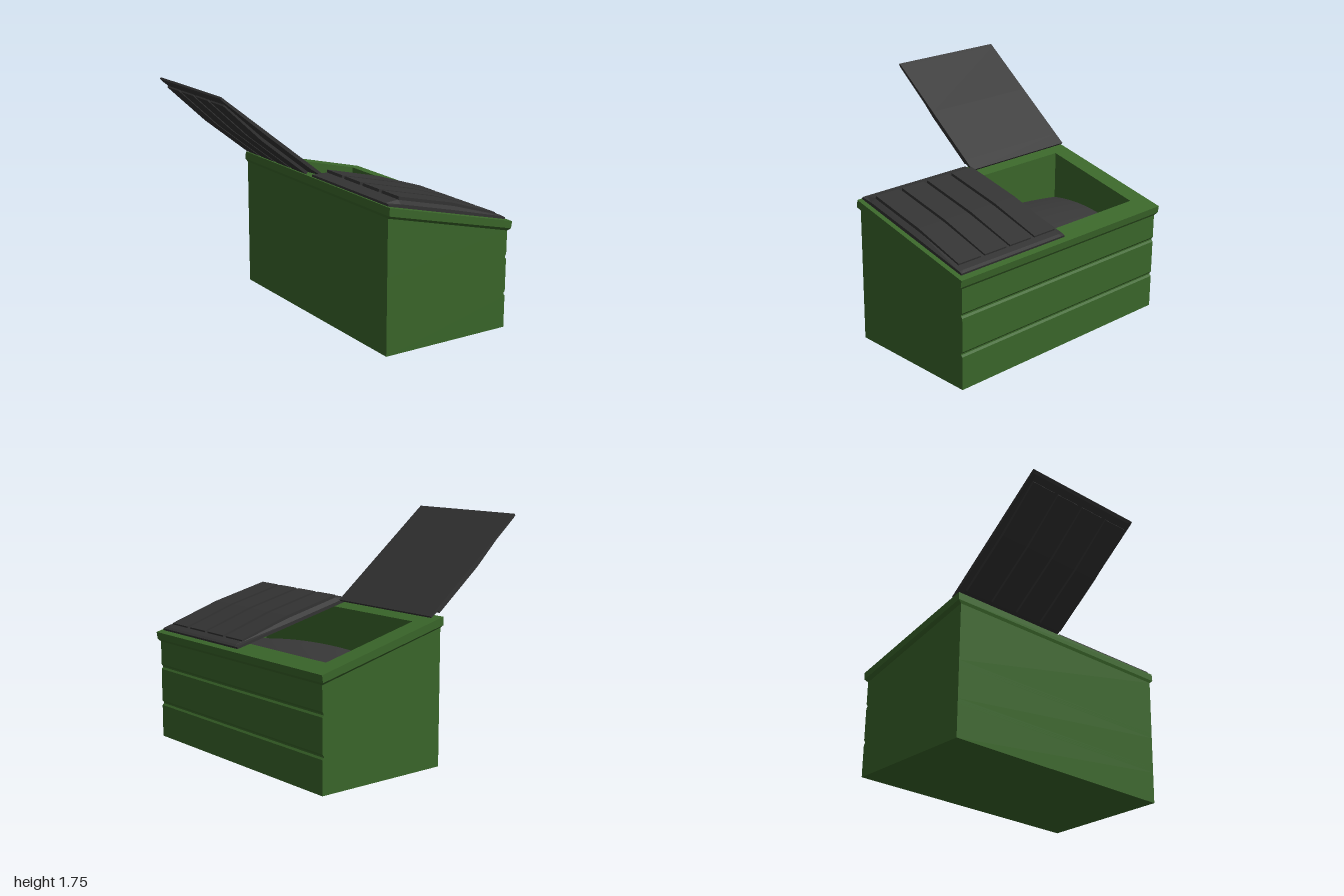
import * as THREE from 'three';

const green = new THREE.MeshStandardMaterial({ color: 0x3a662a, flatShading: true });
const dark = new THREE.MeshStandardMaterial({ color: 0x333333, flatShading: true });
const heapMat = new THREE.MeshStandardMaterial({ color: 0x383838, side: THREE.DoubleSide });

function mesh(name, geometry, material) {
  const m = new THREE.Mesh(geometry, material);
  m.name = name;
  return m;
}

// Skin a list of equal-length rings, each counter-clockwise about the direction of travel
function loft(rings, capStart, capEnd) {
  const pos = [];
  const tri = (a, b, c) => pos.push(...a, ...b, ...c);
  const n = rings[0].length;
  for (let i = 0; i < rings.length - 1; i++) {
    for (let j = 0; j < n; j++) {
      const k = (j + 1) % n;
      const [a, b, c, d] = [rings[i][j], rings[i][k], rings[i + 1][k], rings[i + 1][j]];
      tri(a, b, c);
      tri(a, c, d);
    }
  }
  const first = rings[0], last = rings[rings.length - 1];
  for (let j = 1; j < n - 1; j++) {
    if (capStart) tri(first[0], first[j + 1], first[j]);
    if (capEnd) tri(last[0], last[j], last[j + 1]);
  }
  const g = new THREE.BufferGeometry();
  g.setAttribute('position', new THREE.Float32BufferAttribute(pos, 3));
  g.computeVertexNormals();
  return g;
}

// Rectangular ring whose height runs from yBack (at x0) to yFront (at x1)
const rect = (x0, x1, z, yBack, yFront) => [
  [x0, yBack, z], [x1, yFront, z], [x1, yFront, -z], [x0, yBack, -z],
];

// Container: outer wall with two grooves, bevelled sloping rim, inner wall
function containerGeometry() {
  const rings = [rect(-0.167, 0.893, 0.975, 0, 0)];
  for (const y of [0.245, 0.53]) {
    [[0, 0.893], [0.013, 0.881], [0.023, 0.881], [0.038, 0.893]].forEach(([dy, x1]) =>
      rings.push(rect(-0.167, x1, 0.975, y + dy, y + dy)));
  }
  rings.push(
    rect(-0.167, 0.893, 0.975, 1.0, 0.745),
    rect(-0.175, 0.907, 1.0, 1.022, 0.765),
    rect(-0.17, 0.915, 1.0, 1.08, 0.818),
    rect(-0.02, 0.76, 0.85, 1.044, 0.856),
    rect(-0.02, 0.76, 0.85, 0.5, 0.5),
  );
  return loft(rings, true, false);
}

// Gently domed contents filling the opening
function heapGeometry() {
  const g = new THREE.PlaneGeometry(0.78, 1.7, 16, 24).rotateX(-Math.PI / 2).translate(0.37, 0, 0);
  const p = g.attributes.position;
  for (let i = 0; i < p.count; i++) {
    const x = p.getX(i), z = p.getZ(i);
    p.setY(i, 0.76 - 0.4 * (x - 0.2) ** 2 - 0.09 * z * z);
  }
  g.computeVertexNormals();
  return g;
}

// Lid lying along +x from its hinge edge, flat below and crowned above
function makeLid(name) {
  const lid = new THREE.Group();
  lid.name = name;
  const w = 0.4875, inner = 0.45;
  const sections = [[0, 0.015, 0.016], [0.1, 0.025, 0.05], [0.57, 0.025, 0.05],
    [1.04, 0.018, 0.022], [1.063, 0.014, 0.015]];
  const rings = sections.map(([s, edge, top]) => [
    [s, 0, -w], [s, edge, -w], [s, top, -inner], [s, top, inner], [s, edge, w], [s, 0, w],
  ]);
  lid.add(mesh('lidPanel', loft(rings, true, true), dark));

  // Four raised ribs following the crown
  const profile = new THREE.Shape([[0.1, 0.01], [0.99, 0.01], [0.99, 0.037], [0.57, 0.071], [0.1, 0.071]]
    .map(([x, y]) => new THREE.Vector2(x, y)));
  const ribGeometry = new THREE.ExtrudeGeometry(profile, { depth: 0.2, bevelEnabled: false })
    .translate(0, 0, -0.1);
  for (let i = 0; i < 4; i++) {
    const rib = mesh('lidRib', ribGeometry, dark);
    rib.position.z = (i - 1.5) * 0.235;
    lid.add(rib);
  }
  return lid;
}

export function createModel() {
  const model = new THREE.Group();
  model.name = 'wasteContainer';
  model.add(mesh('container', containerGeometry(), green));
  model.add(mesh('contents', heapGeometry(), heapMat));

  const closed = makeLid('closedLid');
  closed.position.set(-0.16, 1.081, 0.4775);
  closed.rotation.z = -0.2365;
  model.add(closed);

  // The open lid is swung over the hinge, its flat face upward
  const open = makeLid('openLid');
  open.position.set(-0.068, 1.09, -0.49);
  open.rotation.z = THREE.MathUtils.degToRad(141.5);
  model.add(open);
  return model;
}
